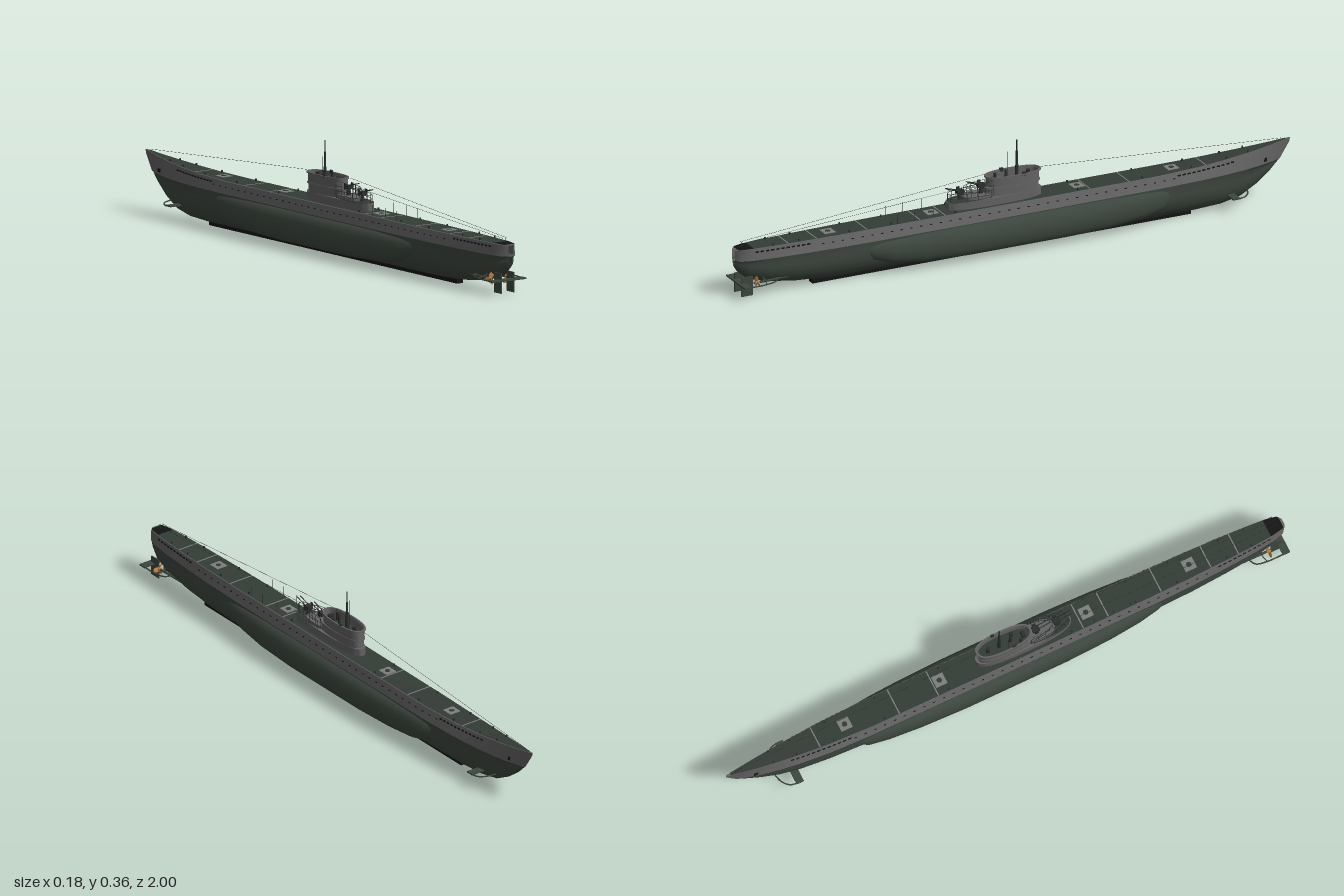
import * as THREE from 'three';
import { toCreasedNormals, mergeGeometries } from 'three/addons/utils/BufferGeometryUtils.js';

const mat = (name, color) => Object.assign(new THREE.MeshStandardMaterial({ color, side: THREE.DoubleSide }), { name });
const M = {
  hull: mat('hullGreen', 0x3d473e),
  casing: mat('casingGrey', 0x636363),
  deck: mat('deckDark', 0x343c36),
  trim: mat('hatchGrey', 0x7c807c),
  metal: mat('darkMetal', 0x2c2f2e),
  black: mat('black', 0x131413),
  bronze: mat('bronze', 0xb9793f),
};
const V = (x, y, z) => new THREE.Vector3(x, y, z);

// Hull stations: z, bottom y, hull half width, waterline half width, deck half width, waterline y, deck y
const ST = [
  [0.998, 0.105, 0.006, 0.010, 0.010, 0.127, 0.163],
  [0.985, 0.085, 0.020, 0.026, 0.024, 0.127, 0.164],
  [0.95, 0.055, 0.032, 0.036, 0.031, 0.127, 0.165],
  [0.88, 0.035, 0.042, 0.044, 0.036, 0.127, 0.165],
  [0.78, 0.020, 0.049, 0.051, 0.041, 0.127, 0.165],
  [0.65, 0.011, 0.056, 0.057, 0.045, 0.127, 0.165],
  [0.5, 0.010, 0.060, 0.060, 0.047, 0.127, 0.165],
  [0, 0.010, 0.062, 0.061, 0.049, 0.127, 0.165],
  [-0.5, 0.010, 0.060, 0.060, 0.047, 0.127, 0.165],
  [-0.65, 0.010, 0.052, 0.055, 0.041, 0.127, 0.168],
  [-0.75, 0.014, 0.042, 0.046, 0.034, 0.127, 0.173],
  [-0.82, 0.028, 0.031, 0.036, 0.027, 0.127, 0.178],
  [-0.88, 0.060, 0.019, 0.025, 0.020, 0.128, 0.183],
  [-0.93, 0.098, 0.008, 0.013, 0.013, 0.129, 0.188],
  [-0.962, 0.130, 0.001, 0.004, 0.008, 0.131, 0.192],
  [-1, 0.186, 0.001, 0.001, 0.002, 0.186, 0.197],
];
function at(z) {
  const i = Math.max(1, ST.findIndex(s => s[0] <= z));
  const a = ST[i - 1], b = ST[i], t = (a[0] - z) / (a[0] - b[0]);
  return a.map((v, k) => v + (b[k] - v) * t);
}

// Skin a list of equal-length rings that run from stern to bow
function loft(rings, closed, crease = 0.7) {
  const n = rings[0].length, index = [];
  for (let i = 0; i < rings.length - 1; i++)
    for (let j = 0; j < (closed ? n : n - 1); j++) {
      const a = i * n + j, b = i * n + (j + 1) % n;
      index.push(a, b, a + n, b, b + n, a + n);
    }
  const g = new THREE.BufferGeometry().setFromPoints(rings.flat());
  g.setIndex(index);
  return toCreasedNormals(g, crease);
}

// Superellipse outline on the ground plane, extruded upward; wall > 0 leaves it hollow
function oval(halfW, z0, z1, y0, y1, wall = 0) {
  const pts = (w, l) => Array.from({ length: 40 }, (_, i) => {
    const a = i / 40 * Math.PI * 2, p = v => Math.sign(v) * Math.abs(v) ** 0.8;
    return new THREE.Vector2(p(Math.cos(a)) * w, -(z0 + z1) / 2 + p(Math.sin(a)) * l);
  });
  const l = Math.abs(z1 - z0) / 2, s = new THREE.Shape(pts(halfW, l));
  if (wall) s.holes.push(new THREE.Path(pts(halfW - wall, l - wall)));
  const g = new THREE.ExtrudeGeometry(s, { depth: y1 - y0, bevelEnabled: false });
  return toCreasedNormals(g.rotateX(-Math.PI / 2).translate(0, y0, 0), 0.6);
}
const box = (w, h, d, x, y, z) => new THREE.BoxGeometry(w, h, d).translate(x, y, z);
const cyl = (r, h, x, y, z, r2 = r) => new THREE.CylinderGeometry(r2, r, h, 10).translate(x, y + h / 2, z);
function rod(a, b, r = 0.001) {
  return new THREE.TubeGeometry(new THREE.LineCurve3(a, b), 1, r, 6);
}
const bend = (pts, r) => new THREE.TubeGeometry(new THREE.CatmullRomCurve3(pts), 20, r, 6);
const merge = list => mergeGeometries(list.map(g => (g.index ? g.toNonIndexed() : g)));

export function createModel() {
  const root = new THREE.Group();
  root.name = 'submarine';
  const add = (name, geo, m) => {
    const mesh = new THREE.Mesh(Array.isArray(geo) ? merge(geo) : geo, m);
    mesh.name = name;
    root.add(mesh);
    return mesh;
  };

  // Lower hull: fraction of height, fraction of half width
  const prof = [[0.85, 1], [0.68, 1.02], [0.5, 0.98], [0.33, 0.87], [0.18, 0.68], [0.06, 0.4], [0, 0.15]];
  add('lowerHull', loft(ST.slice(0, -1).map(([z, yb, w, ws, , ys]) => {
    const half = [[ws, ys], ...prof.map(([f, k]) => [w * k, yb + (ys - yb) * f])];
    return [...half.map(([x, y]) => V(x, y, z)), ...half.reverse().map(([x, y]) => V(-x, y, z))];
  }), true, 1), M.hull);

  // Upper casing and deck planking
  add('upperCasing', loft(ST.map(([z, , , ws, wd, ys, yd]) =>
    [V(wd, yd, z), V(ws, ys, z), V(-ws, ys, z), V(-wd, yd, z)]), true), M.casing);
  const strip = (z0, z1, k, lift) => {
    const zs = [z0, ...ST.map(s => s[0]).filter(z => z < z0 && z > z1), z1];
    return loft(zs.map(z => { const s = at(z); return [V(-s[4] * k, s[6] + lift, z), V(s[4] * k, s[6] + lift, z)]; }), false);
  };
  add('deckPlanking', strip(0.94, -0.985, 0.97, 0.0012), M.deck);
  add('sternWell', strip(0.99, 0.94, 0.95, 0.0014), M.black);

  // Saddle tanks: z, outer x, bottom y, top y
  const TK = [[0.55, 0.056, 0.080, 0.115], [0.52, 0.066, 0.060, 0.122], [0.45, 0.075, 0.038, 0.126], [0.34, 0.083, 0.025, 0.128],
    [0.18, 0.088, 0.020, 0.128], [-0.18, 0.088, 0.020, 0.128], [-0.34, 0.083, 0.024, 0.128], [-0.45, 0.076, 0.033, 0.127],
    [-0.52, 0.068, 0.048, 0.125], [-0.55, 0.056, 0.075, 0.118]];
  const tp = [[0, 1], [0.45, 0.99], [0.75, 0.9], [0.94, 0.72], [1, 0.5], [0.96, 0.25], [0.8, 0.08], [0.5, 0], [0, 0]];
  for (const [side, name] of [[1, 'leftSaddleTank'], [-1, 'rightSaddleTank']]) {
    const rings = TK.map(([z, xo, y0, y1]) => {
      const r = tp.map(([u, v]) => V(side * (0.03 + (xo - 0.03) * u), y0 + (y1 - y0) * v, z));
      return side > 0 ? r : r.reverse();
    });
    add(name, loft(rings, true, 1), M.hull);
  }

  // Keel
  add('keel', box(0.024, 0.014, 1.36, 0, 0.007, 0.04), M.black);

  // Flood slots along the casing, lying on its sloped side
  const slots = [];
  const slot = (z, f, len, h) => {
    const [, , , ws, wd, ys, yd] = at(z), tilt = Math.atan2(ws - wd, yd - ys);
    for (const s of [1, -1])
      slots.push(new THREE.BoxGeometry(0.002, h, len).rotateZ(s * tilt)
        .translate(s * (ws + (wd - ws) * f), ys + (yd - ys) * f, z));
  };
  for (let z = 0.93; z > 0.74; z -= 0.018) slot(z, 0.72, 0.011, 0.005);
  for (let z = -0.58; z > -0.79; z -= 0.018) slot(z, 0.72, 0.011, 0.005);
  for (let z = 0.7; z > -0.57; z -= 0.035) slot(z, 0.55, 0.008, 0.003);
  slot(-0.9, 0.25, 0.018, 0.012);
  add('floodSlots', slots, M.black);

  // Deck hatches and seams
  const seams = [], hatchCentres = [], bollards = [];
  for (const z of [-0.68, -0.4, -0.26, 0.26, 0.35, 0.54, 0.72, 0.82])
    seams.push(box(at(z)[4] * 1.9, 0.001, 0.004, 0, at(z)[6] + 0.0016, z));
  for (const z of [-0.575, -0.235, 0.29, 0.66]) {
    seams.push(box(0.04, 0.002, 0.04, 0, at(z)[6] + 0.002, z));
    hatchCentres.push(cyl(0.009, 0.003, 0, at(z)[6] + 0.001, z));
  }
  for (const z of [0.87, 0.78, 0.6, 0.45, 0.22, -0.22, -0.45, -0.63, -0.76, -0.84])
    for (const s of [1, -1]) bollards.push(cyl(0.003, 0.008, s * at(z)[4] * 0.8, at(z)[6], z));
  add('deckHatches', seams, M.trim);
  add('hatchCentres', hatchCentres, M.deck);
  add('bollards', bollards, M.metal);

  // Conning tower with stepped gun platforms aft
  add('towerBase', oval(0.037, 0.235, -0.105, 0.163, 0.192), M.casing);
  add('towerBody', oval(0.033, 0.1, -0.095, 0.19, 0.222), M.casing);
  add('towerBand', oval(0.036, 0.105, -0.1, 0.217, 0.222), M.casing);
  add('bridgeBulwark', oval(0.034, 0.09, -0.097, 0.222, 0.252, 0.003), M.casing);
  add('bridgeRim', oval(0.037, 0.094, -0.103, 0.251, 0.256, 0.005), M.casing);
  add('bridgeFloor', oval(0.031, 0.087, -0.094, 0.221, 0.226), M.deck);
  add('gunPlatform', oval(0.032, 0.175, 0.07, 0.19, 0.202), M.casing);
  add('platformFloor', oval(0.034, 0.23, 0.06, 0.192, 0.1935), M.deck);

  // Platform railings
  const rails = [];
  for (const [w, z0, z1, y0, y1] of [[0.035, 0.23, 0.09, 0.19, 0.218], [0.030, 0.17, 0.08, 0.2, 0.232]])
    for (let i = 0; i <= 10; i++) {
      const p = (k, y) => V(Math.cos(k / 10 * Math.PI) * w, y, z1 + Math.sin(k / 10 * Math.PI) * (z0 - z1));
      rails.push(rod(p(i, y0), p(i, y1), 0.0009));
      if (i) for (const y of [y1, (y0 + y1) / 2]) rails.push(rod(p(i - 1, y), p(i, y), 0.0008));
    }
  for (const z of [0.3, 0.37, 0.43]) for (const s of [1, -1])
    rails.push(rod(V(s * 0.042, 0.164, z), V(s * 0.042, 0.2, z), 0.0009));
  add('railings', rails, M.metal);

  // Anti-aircraft guns
  const guns = [];
  for (const [z, y] of [[0.185, 0.192], [0.11, 0.202]]) {
    guns.push(cyl(0.008, 0.022, 0, y, z, 0.004), box(0.02, 0.011, 0.024, 0, y + 0.027, z));
    for (const s of [1, -1]) {
      guns.push(rod(V(s * 0.006, y + 0.03, z), V(s * 0.006, y + 0.045, z + 0.05), 0.0016));
      guns.push(box(0.002, 0.02, 0.012, s * 0.014, y + 0.03, z));
    }
  }
  add('deckGuns', guns, M.metal);

  // Bridge fittings, periscopes and mast
  add('bridgeFittings', [cyl(0.007, 0.03, 0, 0.224, -0.06), cyl(0.006, 0.026, 0.015, 0.224, 0.03),
    cyl(0.005, 0.03, -0.016, 0.224, 0.05), box(0.02, 0.018, 0.012, 0, 0.236, 0.065),
    box(0.006, 0.012, 0.012, 0.032, 0.255, -0.03), box(0.006, 0.012, 0.012, -0.032, 0.255, 0.02)], M.metal);
  add('periscopes', [cyl(0.007, 0.055, 0, 0.222, -0.02, 0.005), cyl(0.0035, 0.05, 0, 0.275, -0.02),
    cyl(0.0022, 0.04, 0, 0.323, -0.02), cyl(0.006, 0.045, 0, 0.222, 0.02, 0.003),
    cyl(0.0008, 0.095, -0.025, 0.22, 0.0)], M.metal);

  // Aerial wires
  add('aerialWires', [rod(V(0, 0.255, -0.1), V(0, 0.2, -0.97), 0.0005),
    ...[1, -1].map(s => rod(V(s * 0.03, 0.25, 0.08), V(s * 0.008, 0.182, 0.97), 0.0005)),
    rod(V(0, 0.163, 0.97), V(0, 0.183, 0.97), 0.001)], M.metal);

  // Stern gear: rudders, diving planes, guards and shafts
  add('rudders', [1, -1].map(s => box(0.004, 0.066, 0.04, s * 0.025, 0.038, 0.962)), M.hull);
  add('sternPlanes', box(0.134, 0.005, 0.026, 0, 0.048, 0.978), M.hull);
  const guards = [], shafts = [];
  for (const s of [1, -1]) {
    guards.push(bend([V(s * 0.038, 0.055, 0.86), V(s * 0.056, 0.052, 0.872), V(s * 0.064, 0.049, 0.91), V(s * 0.064, 0.048, 0.98)], 0.0025));
    guards.push(rod(V(s * 0.03, 0.055, 0.9), V(s * 0.064, 0.05, 0.91), 0.0018));
    shafts.push(rod(V(s * 0.03, 0.05, 0.72), V(s * 0.033, 0.048, 0.94), 0.004));
    shafts.push(rod(V(s * 0.033, 0.048, 0.905), V(s * 0.02, 0.085, 0.905), 0.003));
    // Bow planes with their guards
    guards.push(bend([V(s * 0.02, 0.055, -0.835), V(s * 0.05, 0.053, -0.825), V(s * 0.07, 0.05, -0.805), V(s * 0.077, 0.05, -0.77)], 0.0025));
  }
  add('planeGuards', guards, M.hull);
  add('propellerShafts', shafts, M.hull);
  add('bowPlanes', box(0.156, 0.005, 0.026, 0, 0.05, -0.772), M.hull);

  // Three-bladed propellers
  for (const s of [1, -1]) {
    const parts = [new THREE.SphereGeometry(0.006, 12, 8).scale(1, 1, 1.6)];
    for (let i = 0; i < 3; i++)
      parts.push(new THREE.SphereGeometry(1, 12, 8).scale(0.008, 0.011, 0.0014).rotateY(s * 0.5)
        .translate(0, 0.012, 0).rotateZ(s * (i * Math.PI * 2 / 3 + 0.5)));
    add(s > 0 ? 'leftPropeller' : 'rightPropeller', parts, M.bronze).position.set(s * 0.034, 0.048, 0.93);
  }
  return root;
}
